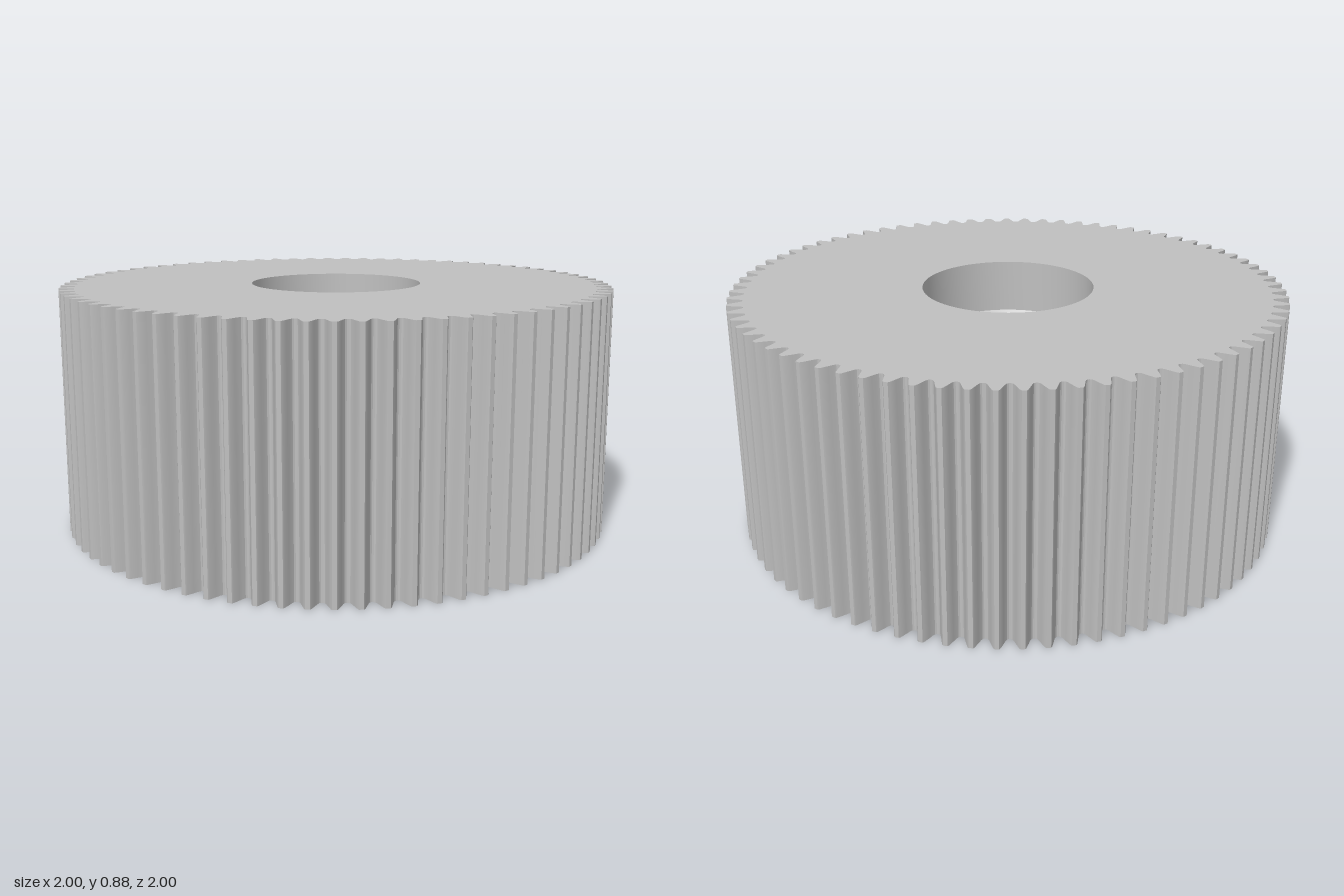
import * as THREE from 'three';
import { toCreasedNormals } from 'three/addons/utils/BufferGeometryUtils.js';

const TEETH = 77, HEIGHT = 0.875;
const FLOOR = 0.67;   // floor of the counterbore
const LEDGE = 0.45;   // top of the flat in the shaft hole
const BORE = 0.256, FLAT = 0.165;

const polar = (r, a) => new THREE.Vector2(r * Math.cos(a), r * Math.sin(a));

// Counter-clockwise gear outline, one tooth centred at the back
function gearLoop() {
  const pitch = (Math.PI * 2) / TEETH;
  // [fraction of pitch from the tooth centre, radius]
  const half = [[0.09, 1], [0.14, 0.995], [0.25, 0.972], [0.33, 0.955], [0.39, 0.947], [0.46, 0.944]];
  const tooth = [...half.map(([f, r]) => [-f, r]).reverse(), ...half];
  const pts = [];
  for (let i = 0; i < TEETH; i++) {
    for (const [f, r] of tooth) pts.push(polar(r, Math.PI / 2 + (i + f) * pitch));
  }
  return pts;
}

function arcLoop(r, from = 0, to = Math.PI * 2, n = 96) {
  const closed = to - from > 6.28;
  return Array.from({ length: n }, (_, i) => polar(r, from + ((to - from) * i) / (closed ? n : n - 1)));
}

// Strip between two closed loops; inward walls face the axis
function wall(low, y0, high, y1, inward = false) {
  const pos = [], index = [], n = low.length;
  for (let i = 0; i < n; i++) {
    pos.push(low[i].x, y0, -low[i].y, high[i].x, y1, -high[i].y);
    const a = 2 * i, b = 2 * ((i + 1) % n);
    if (inward) index.push(a, b + 1, b, a, a + 1, b + 1);
    else index.push(a, b, b + 1, a, b + 1, a + 1);
  }
  const geo = new THREE.BufferGeometry();
  geo.setAttribute('position', new THREE.Float32BufferAttribute(pos, 3));
  geo.setIndex(index);
  return toCreasedNormals(geo, Math.PI / 9);
}

// Flat horizontal face with a hole
function face(outer, hole, y, down = false) {
  const shape = new THREE.Shape(outer);
  shape.holes.push(new THREE.Path(hole));
  const geo = new THREE.ShapeGeometry(shape);
  geo.rotateX(-Math.PI / 2).translate(0, y, 0);
  if (down) {
    geo.setIndex(Array.from(geo.index.array).reverse());
    geo.computeVertexNormals();
  }
  return geo;
}

export function createModel() {
  const group = new THREE.Group();
  group.name = 'spurGear';
  const steel = new THREE.MeshStandardMaterial({ color: 0xbfbfbf });
  steel.name = 'greyMetal';
  const add = (name, geo) => {
    const mesh = new THREE.Mesh(geo, steel);
    mesh.name = name;
    group.add(mesh);
  };

  const gear = gearLoop();
  const wide = arcLoop(0.31), seat = arcLoop(0.3), bore = arcLoop(BORE);
  const a = Math.asin(FLAT / BORE);
  const dHole = arcLoop(BORE, Math.PI - a, Math.PI * 2 + a, 80);

  // Toothed rim and end faces
  add('teeth', wall(gear, 0, gear, HEIGHT));
  add('topFace', face(gear, wide, HEIGHT));
  add('bottomFace', face(gear, dHole, 0, true));

  // Counterbore with a small chamfer at its floor
  add('counterboreWall', wall(wide, FLOOR + 0.01, wide, HEIGHT, true));
  add('counterboreChamfer', wall(seat, FLOOR, wide, FLOOR + 0.01, true));
  add('counterboreFloor', face(seat, bore, FLOOR));

  // Round hole above, D-shaped shaft hole below
  add('roundBore', wall(bore, LEDGE, bore, FLOOR, true));
  const segment = new THREE.Shape(arcLoop(BORE, a, Math.PI - a, 32));
  add('flatLedge', new THREE.ShapeGeometry(segment).rotateX(-Math.PI / 2).translate(0, LEDGE, 0));
  add('shaftBore', wall(dHole, 0, dHole, LEDGE, true));

  return group;
}
